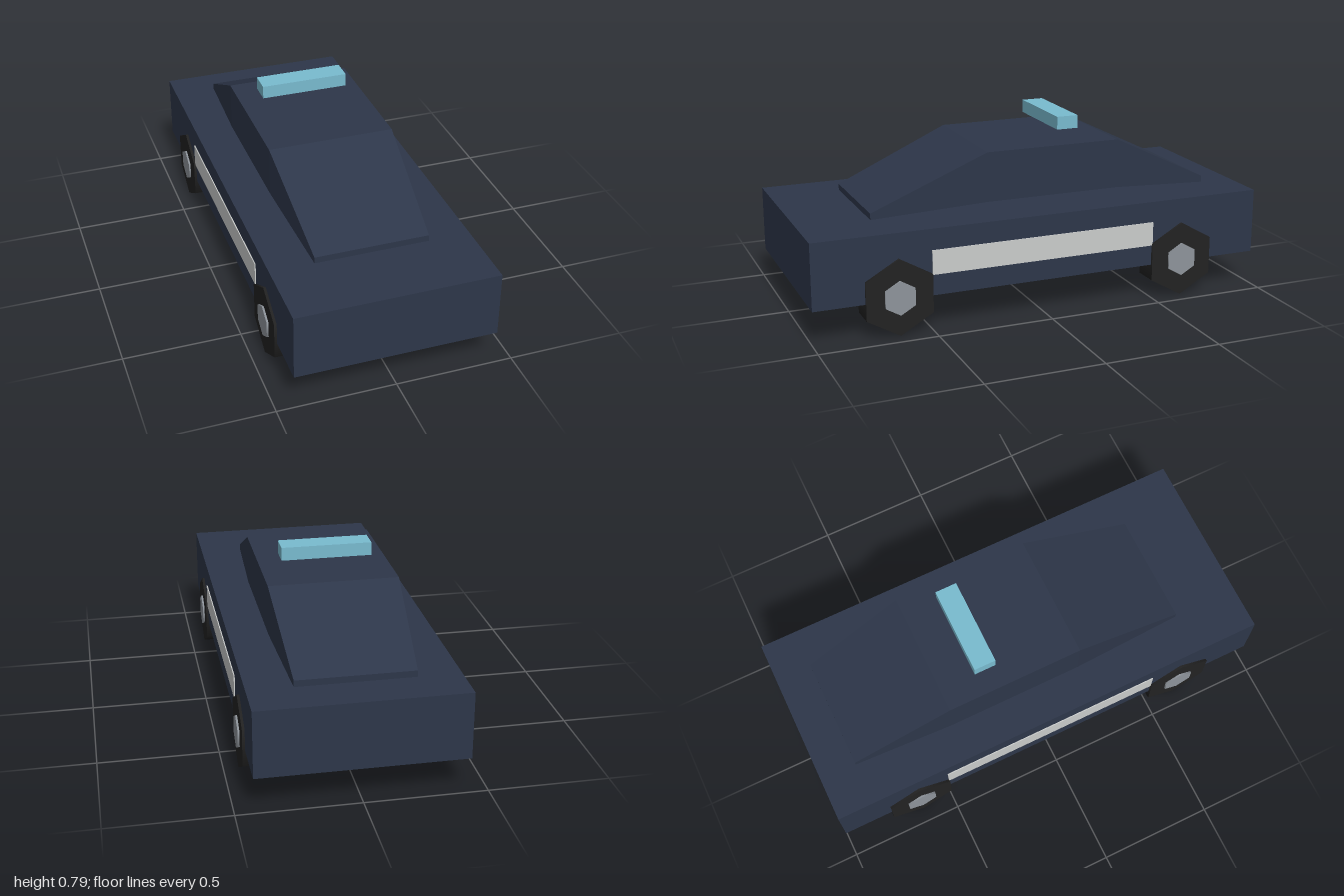
import * as THREE from 'three';

const paint = (name, color) => {
  const m = new THREE.MeshStandardMaterial({ color });
  m.name = name;
  return m;
};

// Closed loft through rectangular cross-sections [z, halfWidth, bottom, top], front to back
function loftRects(sections) {
  const corners = sections.map(([z, w, b, t]) => [[-w, b, z], [w, b, z], [w, t, z], [-w, t, z]]);
  const pos = [];
  const quad = (a, b, c, d) => pos.push(...a, ...b, ...c, ...a, ...c, ...d);
  quad(...corners[0]);
  quad(...[...corners[corners.length - 1]].reverse());
  for (let i = 0; i < corners.length - 1; i++) {
    const f = corners[i], r = corners[i + 1];
    for (let k = 0; k < 4; k++) {
      const n = (k + 1) % 4;
      quad(f[n], f[k], r[k], r[n]);
    }
  }
  const geo = new THREE.BufferGeometry();
  geo.setAttribute('position', new THREE.Float32BufferAttribute(pos, 3));
  geo.computeVertexNormals();
  return geo;
}

export function createModel() {
  const car = new THREE.Group();
  car.name = 'car';
  const navy = paint('navy body paint', 0x2d3649);
  const rubber = paint('black rubber', 0x222222);
  const metal = paint('grey hub metal', 0x8e949b);
  const white = paint('pale side panel', 0xcacccb);
  const blue = paint('light bar blue', 0x79bbcf);

  const add = (name, geo, mat, x, y, z, parent = car) => {
    const mesh = new THREE.Mesh(geo, mat);
    mesh.name = name;
    mesh.position.set(x, y, z);
    parent.add(mesh);
    return mesh;
  };

  // Slab body, floating cabin and roof light bar
  add('body', new THREE.BoxGeometry(0.854, 0.283, 2), navy, 0, 0.2915, 0);
  add('cabin', loftRects([
    [0.7, 0.243, 0.44, 0.467],
    [0.2, 0.272, 0.469, 0.682],
    [-0.4, 0.272, 0.469, 0.682],
    [-0.84, 0.243, 0.44, 0.467],
  ]), navy, 0, 0, 0);
  add('lightBar', new THREE.BoxGeometry(0.38, 0.056, 0.095), blue, 0, 0.757, -0.2);

  // Six-sided wheels with a corner pointing up; hub pokes out on both faces
  const hexagon = (radius, width) =>
    new THREE.CylinderGeometry(radius, radius, width, 6, 1, false, Math.PI / 2).rotateZ(Math.PI / 2);
  const tyreGeo = hexagon(0.163, 0.114);
  const hubGeo = hexagon(0.073, 0.13);
  const panelGeo = new THREE.BoxGeometry(0.008, 0.104, 1);

  for (const side of [1, -1]) {
    const label = side > 0 ? 'left' : 'right';
    add(label + 'SidePanel', panelGeo, white, side * 0.4275, 0.291, 0);
    for (const [end, z] of [['Front', 0.642], ['Rear', -0.638]]) {
      const wheel = new THREE.Group();
      wheel.name = label + end + 'Wheel';
      wheel.position.set(side * 0.381, 0.163, z);
      add('tyre', tyreGeo, rubber, 0, 0, 0, wheel);
      add('hub', hubGeo, metal, 0, 0, 0, wheel);
      car.add(wheel);
    }
  }
  return car;
}
